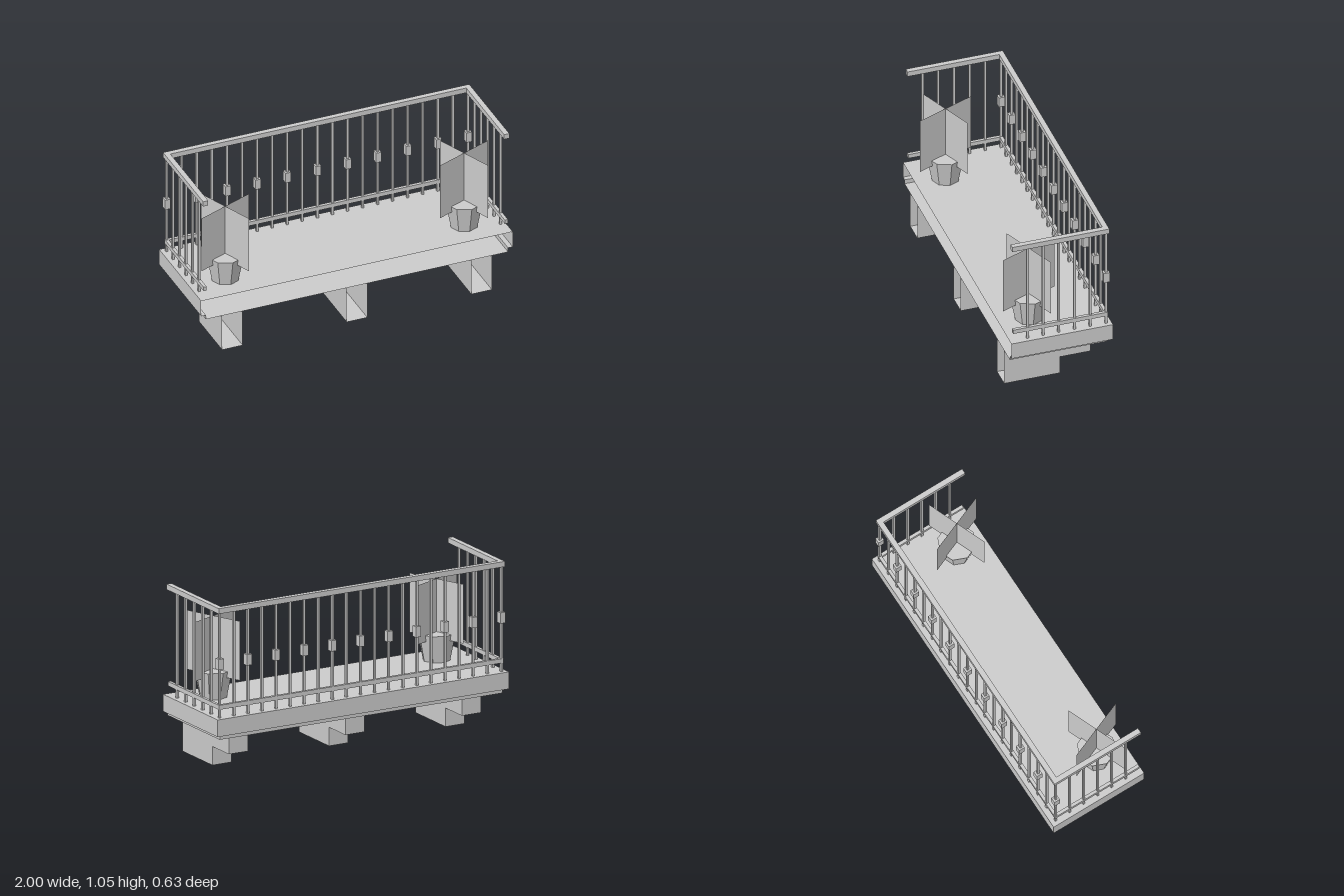
import * as THREE from 'three';

const grey = new THREE.MeshStandardMaterial({ color: 0xcccccc, flatShading: true });
const thin = new THREE.MeshStandardMaterial({ color: 0xcccccc, flatShading: true, side: THREE.DoubleSide });
const FRONT = 0.317;

function add(parent, name, geometry, x = 0, y = 0, z = 0, material = grey) {
  const mesh = new THREE.Mesh(geometry, material);
  mesh.name = name;
  mesh.position.set(x, y, z);
  parent.add(mesh);
  return mesh;
}

// Shell left open at the wall side: each row [halfWidth, backZ, y] is a U-shaped section
function openShell(rows) {
  const section = ([w, b, y]) => [[w, y, FRONT], [w, y, b], [-w, y, b], [-w, y, FRONT]];
  const positions = [];
  for (let i = 0; i < rows.length - 1; i++) {
    const p = section(rows[i]), q = section(rows[i + 1]);
    for (let j = 0; j < 3; j++) {
      for (const t of [[p[j], p[j + 1], q[j]], [p[j + 1], q[j + 1], q[j]]]) {
        const [a, b, c] = t.map(v => new THREE.Vector3(...v));
        if (new THREE.Triangle(a, b, c).getArea() > 1e-7) positions.push(...t[0], ...t[2], ...t[1]);
      }
    }
  }
  // Turn the winding so that the faces point outwards
  for (let i = 0; i < positions.length; i += 9) {
    for (let k = 0; k < 3; k++) {
      [positions[i + 3 + k], positions[i + 6 + k]] = [positions[i + 6 + k], positions[i + 3 + k]];
    }
  }
  const geometry = new THREE.BufferGeometry();
  geometry.setAttribute('position', new THREE.Float32BufferAttribute(positions, 3));
  geometry.computeVertexNormals();
  return geometry;
}

// U-shaped rail running along both sides and the back
function railGeometry(halfWidth, backZ, frontZ, thickness, height) {
  const w = halfWidth, i = halfWidth - thickness, b = -backZ, f = -frontZ;
  const outline = [[-w, f], [-i, f], [-i, b - thickness], [i, b - thickness], [i, f], [w, f], [w, b], [-w, b]];
  const shape = new THREE.Shape(outline.map(([x, y]) => new THREE.Vector2(x, y)));
  return new THREE.ExtrudeGeometry(shape, { depth: height, bevelEnabled: false }).rotateX(-Math.PI / 2);
}

export function createModel() {
  const model = new THREE.Group();
  model.name = 'balcony';

  // Stepped floor slab, open towards the wall
  add(model, 'floorSlab', openShell([
    [1, FRONT, 0.37], [1, -FRONT, 0.37], [1, -FRONT, 0.265],
    [0.97, -0.29, 0.265], [0.97, -0.29, 0.237], [0.97, FRONT, 0.237],
  ]), 0, 0, 0, thin);

  // Three stepped support brackets
  const bracket = openShell([
    [0.066, -0.22, 0.237], [0.066, -0.22, 0.115],
    [0.066, -0.03, 0.115], [0.066, -0.03, 0], [0.066, FRONT, 0],
  ]);
  for (const x of [-0.8, 0, 0.8]) add(model, 'supportBracket', bracket, x, 0, 0, thin);

  // Railing
  const railing = new THREE.Group();
  railing.name = 'railing';
  model.add(railing);
  add(railing, 'handrail', railGeometry(0.983, -0.3, 0.305, 0.033, 0.033), 0, 1.015, 0);
  add(railing, 'lowerRail', railGeometry(0.977, -0.293, 0.298, 0.02, 0.027), 0, 0.423, 0);

  const baluster = new THREE.BoxGeometry(0.014, 0.65, 0.014);
  const block = new THREE.BoxGeometry(0.035, 0.066, 0.038);
  const spacing = 0.0967, backZ = -0.283;
  for (let i = -10; i <= 10; i++) {
    add(railing, 'backBaluster', baluster, i * spacing, 0.695, backZ);
    if (i % 2 === 0) add(railing, 'balusterBlock', block, i * spacing, 0.703, backZ);
  }
  for (const side of [-1, 1]) {
    for (let i = 1; i <= 5; i++) {
      add(railing, 'sideBaluster', baluster, side * 0.967, 0.695, backZ + i * 0.098);
    }
  }

  // Potted plants: faceted pot with two crossed foliage cards
  const pot = new THREE.CylinderGeometry(0.117, 0.084, 0.17, 8);
  const card = new THREE.PlaneGeometry(0.4, 0.365);
  for (const side of [-1, 1]) {
    const plant = new THREE.Group();
    plant.name = side > 0 ? 'leftPlant' : 'rightPlant';
    plant.position.set(side * 0.767, 0, 0.13);
    model.add(plant);
    add(plant, 'pot', pot, 0, 0.455, 0);
    for (const turn of [0, Math.PI / 2]) {
      add(plant, 'foliageCard', card, 0, 0.684, 0, thin).rotation.y = 0.385 + turn;
    }
  }
  return model;
}
